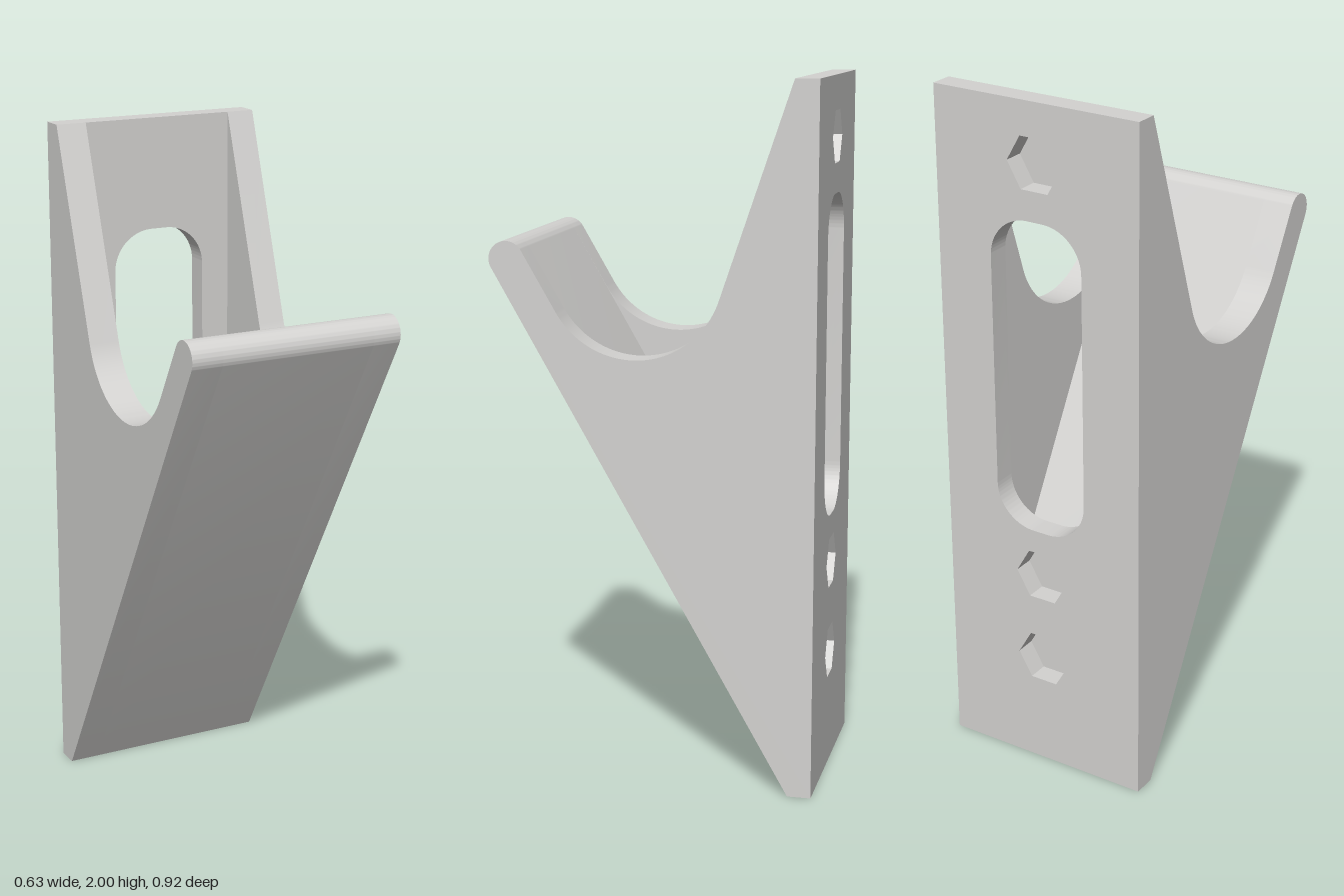
import * as THREE from 'three';
import { toCreasedNormals } from 'three/addons/utils/BufferGeometryUtils.js';

const HALF = 0.317;                         // half of the outer width
const INNER = 0.46, SHIFT = 0.004;          // cavity width and its offset in x
const BACK = -0.46, FRONT = -0.393;         // back plate faces in z
const POCKET = 0.06;                        // nut pocket depth
const rad = THREE.MathUtils.degToRad;

function extrude(shape, depth) {
  const g = new THREE.ExtrudeGeometry(shape, { depth, bevelEnabled: false, curveSegments: 32 });
  return toCreasedNormals(g, rad(25));
}

// Extrude a (z, y) profile along x, from x0 to x1
function extrudeX(shape, x0, x1) {
  return extrude(shape, x1 - x0).rotateY(-Math.PI / 2).translate(x1, 0, 0);
}

// Rounded lip at the top of the sloping front
function addLip(s) {
  s.absarc(0.411, 1.5, 0.05, rad(-30), rad(150), false);
}

function sideProfile() {
  const s = new THREE.Shape();
  s.moveTo(BACK, 0);
  s.lineTo(FRONT, 0);
  addLip(s);
  s.absarc(0.05, 1.484, 0.254, rad(-30), rad(-160.8), true);
  s.lineTo(FRONT, 2);
  s.lineTo(BACK, 2);
  s.closePath();
  return s;
}

function frontProfile() {
  const s = new THREE.Shape();
  s.moveTo(FRONT, 0.208);
  s.lineTo(FRONT, 0);
  addLip(s);
  s.closePath();
  return s;
}

// Rounded opening in the back plate
function slot() {
  const x = 0.144, y0 = 0.752, y1 = 1.672, r = 0.12;
  const p = new THREE.Path();
  p.absarc(x - r, y1 - r, r, 0, Math.PI / 2, false);
  p.absarc(-x + r, y1 - r, r, Math.PI / 2, Math.PI, false);
  p.absarc(-x + r, y0 + r, r, Math.PI, Math.PI * 1.5, false);
  p.absarc(x - r, y0 + r, r, Math.PI * 1.5, Math.PI * 2, false);
  p.closePath();
  return p;
}

function hexagon(y) {
  const pts = [];
  for (let i = 0; i < 6; i++) {
    const a = i * Math.PI / 3;
    pts.push(new THREE.Vector2(0.084 * Math.cos(a), y + 0.084 * Math.sin(a)));
  }
  return new THREE.Path(pts);
}

function plateShape(holes) {
  const h = INNER / 2;
  const s = new THREE.Shape([[-h, 0], [h, 0], [h, 2], [-h, 2]].map(([x, y]) => new THREE.Vector2(x, y)));
  s.holes.push(...holes);
  return s;
}

export function createModel() {
  const group = new THREE.Group();
  const grey = new THREE.MeshStandardMaterial({ color: 0xd3d2d0 });
  grey.name = 'light grey';
  const add = (name, geometry) => {
    const m = new THREE.Mesh(geometry, grey);
    m.name = name;
    group.add(m);
  };
  const x0 = SHIFT - INNER / 2, x1 = SHIFT + INNER / 2;

  // Side walls with the hook notch
  add('leftWall', extrudeX(sideProfile(), x1, HALF));
  add('rightWall', extrudeX(sideProfile(), -HALF, x0));

  // Sloping front panel between the walls
  add('frontPanel', extrudeX(frontProfile(), x0, x1));

  // Back plate: outer layer has the hexagonal pockets, inner layer closes them
  const pockets = [1.83, 0.61, 0.34].map(hexagon);
  add('backPlateOuter', extrude(plateShape([slot(), ...pockets]), POCKET).translate(SHIFT, 0, BACK));
  add('backPlateInner', extrude(plateShape([slot()]), FRONT - BACK - POCKET).translate(SHIFT, 0, BACK + POCKET));

  return group;
}
